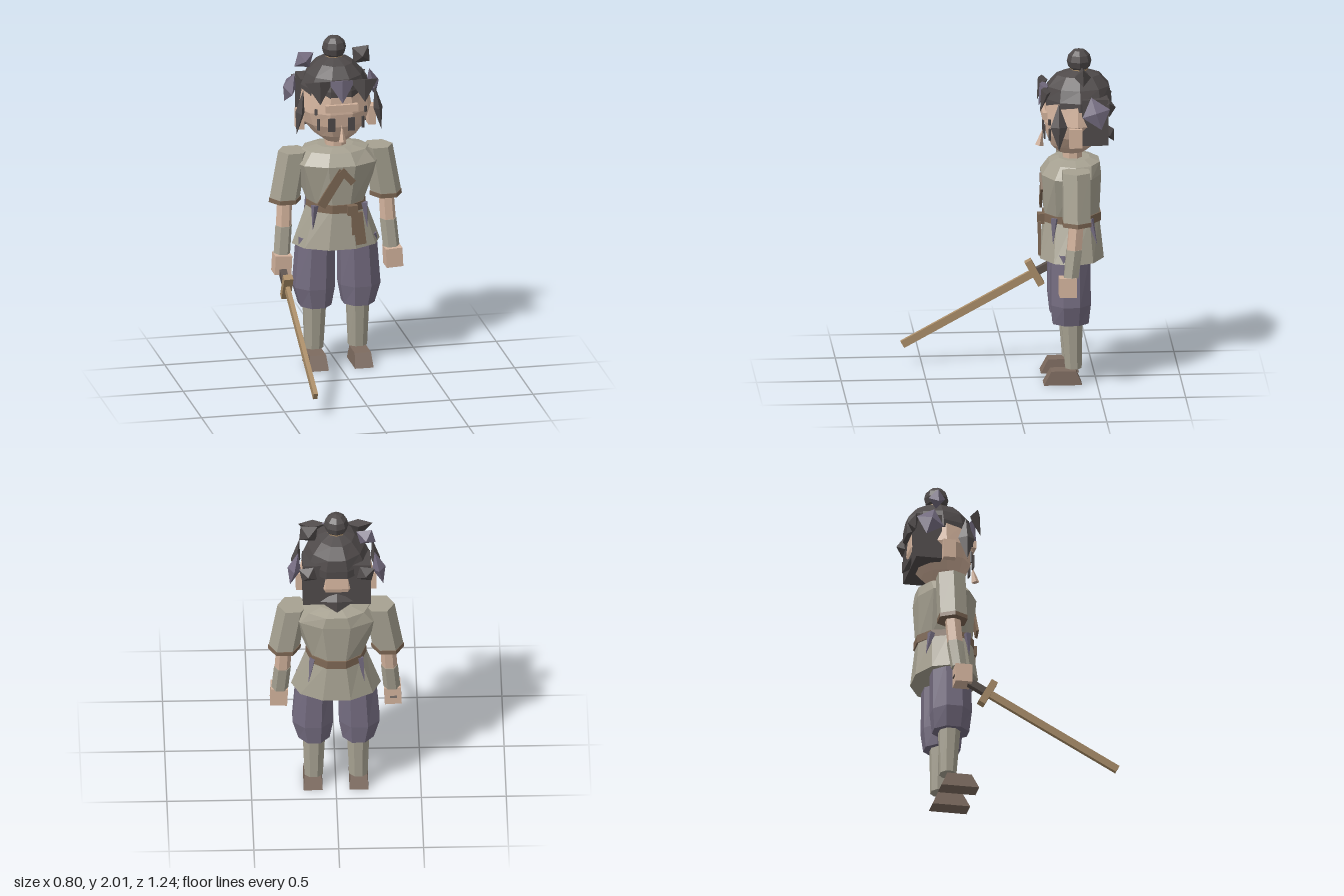
import * as THREE from 'three';

const mat = (name, color) => Object.assign(new THREE.MeshStandardMaterial({ color }), { name });

export function createModel() {
  const root = new THREE.Group();
  const M = {
    hair: mat('dark hair', 0x4f4a4a),
    purple: mat('muted purple', 0x746c80),
    cloth: mat('grey cloth', 0xa6a191),
    skin: mat('skin', 0xd2b29c),
    brown: mat('brown leather', 0x7c6653),
    shoe: mat('shoe brown', 0x7d6b5f),
    wood: mat('wood', 0xab8e69),
    grip: mat('dark grip', 0x5c524c),
  };

  // Faceted mesh: every face keeps its own normal
  function add(name, geo, material, pos = [0, 0, 0], rot = [0, 0, 0]) {
    const g = geo.index ? geo.toNonIndexed() : geo;
    g.computeVertexNormals();
    const m = new THREE.Mesh(g, material);
    m.name = name;
    m.position.set(...pos);
    m.rotation.set(...rot);
    root.add(m);
    return m;
  }
  const box = (name, size, pos, material, rot) =>
    add(name, new THREE.BoxGeometry(...size), material, pos, rot);

  // Closed loft through rings [y, centreX, centreZ, halfX, halfZ], bottom to top
  function loft(name, rings, n, phase, material) {
    const ang = Array.from({ length: n }, (_, i) => ((i + phase) * 2 * Math.PI) / n);
    const mx = Math.max(...ang.map((a) => Math.abs(Math.cos(a))));
    const mz = Math.max(...ang.map((a) => Math.abs(Math.sin(a))));
    const pos = [], idx = [];
    rings.forEach(([y, cx, cz, hx, hz]) =>
      ang.forEach((a) => pos.push(cx + (hx * Math.cos(a)) / mx, y, cz + (hz * Math.sin(a)) / mz)));
    const last = rings.length - 1;
    [rings[0], rings[last]].forEach(([y, cx, cz]) => pos.push(cx, y, cz));
    const c0 = rings.length * n;
    for (let i = 0; i < n; i++) {
      const j = (i + 1) % n;
      for (let r = 0; r < last; r++) {
        const a = r * n + i, b = r * n + j;
        idx.push(a, a + n, b, b, a + n, b + n);
      }
      idx.push(c0, i, j, c0 + 1, last * n + j, last * n + i);
    }
    const g = new THREE.BufferGeometry();
    g.setAttribute('position', new THREE.Float32BufferAttribute(pos, 3));
    g.setIndex(idx);
    return add(name, g, material);
  }

  // Four-sided spike from base to tip
  function spike(name, base, tip, width, depth, material) {
    const a = new THREE.Vector3(...base), d = new THREE.Vector3(...tip).sub(a);
    const g = new THREE.ConeGeometry(1, d.length(), 4).scale(width / 2, 1, depth / 2);
    const m = add(name, g, material, a.clone().addScaledVector(d, 0.5).toArray());
    m.quaternion.setFromUnitVectors(new THREE.Vector3(0, 1, 0), d.normalize());
    return m;
  }
  const diamond = (name, size, pos, material, rot) =>
    add(name, new THREE.OctahedronGeometry(0.5).scale(...size), material, pos, rot);

  // Tunic, skirt and belt
  loft('tunic', [
    [1.0, 0, -0.36, 0.17, 0.16], [1.26, 0, -0.355, 0.265, 0.175],
    [1.33, 0, -0.375, 0.2, 0.148], [1.35, 0, -0.375, 0.11, 0.09],
  ], 10, 0, M.cloth);
  loft('skirt', [[0.75, 0, -0.358, 0.265, 0.188], [1.0, 0, -0.36, 0.175, 0.16]], 10, 0, M.cloth);
  loft('belt', [[0.97, 0, -0.36, 0.182, 0.172], [1.02, 0, -0.36, 0.178, 0.17]], 10, 0, M.brown);
  box('beltKnot', [0.06, 0.06, 0.04], [0.06, 0.992, -0.175], M.brown);
  box('beltTail', [0.06, 0.2, 0.015], [0.1, 0.88, -0.164], M.brown, [0, 0, 0.12]);
  box('beltTailShort', [0.04, 0.14, 0.014], [0.075, 0.91, -0.168], M.brown, [0, 0, 0.05]);
  box('chestStrap', [0.055, 0.25, 0.015], [-0.06, 1.13, -0.186], M.brown, [0, 0, -0.56]);
  box('chestStrapEnd', [0.04, 0.11, 0.015], [0.03, 1.2, -0.18], M.brown, [0, 0, 0.72]);

  // Head, neck and hair cap
  loft('neck', [[1.3, 0, -0.365, 0.06, 0.055], [1.42, 0, -0.365, 0.06, 0.055]], 8, 0.5, M.skin);
  loft('head', [
    [1.385, 0, -0.36, 0.07, 0.075], [1.43, 0, -0.365, 0.13, 0.125], [1.5, 0, -0.38, 0.19, 0.17],
    [1.58, 0, -0.385, 0.22, 0.187], [1.72, 0, -0.385, 0.195, 0.175],
  ], 10, 0, M.skin);
  loft('hairCap', [
    [1.67, 0, -0.4, 0.205, 0.193], [1.72, 0, -0.4, 0.203, 0.193], [1.79, 0, -0.4, 0.17, 0.18],
    [1.855, 0, -0.4, 0.11, 0.125], [1.885, 0, -0.4, 0.04, 0.04],
  ], 10, 0, M.hair);
  box('hairBack', [0.4, 0.28, 0.155], [0, 1.605, -0.487], M.hair);
  add('bun', new THREE.SphereGeometry(0.073, 8, 6), M.hair, [0, 1.935, -0.405]);
  add('bunTie', new THREE.CylinderGeometry(0.052, 0.052, 0.02, 8), M.wood, [0, 1.885, -0.405]);

  // Face
  box('brow', [0.195, 0.045, 0.03], [0, 1.622, -0.198], M.skin);
  spike('nose', [0, 1.42, -0.17], [0, 1.52, -0.19], 0.045, 0.05, M.skin);

  // Fringe
  for (const x of [-0.135, 0, 0.135])
    spike('fringe', [x, 1.79, -0.2], [x, 1.66, -0.165], 0.17, 0.06, x ? M.hair : M.purple);

  // Tufts on the crown and the back
  diamond('crownTuftRight', [0.14, 0.12, 0.1], [-0.175, 1.86, -0.435], M.purple, [0, 0, 0.6]);
  diamond('crownTuftLeft', [0.14, 0.14, 0.1], [0.165, 1.875, -0.415], M.hair, [0, 0, -0.7]);
  diamond('napeTuft', [0.2, 0.13, 0.07], [0, 1.495, -0.58], M.hair, [0.5, 0, 0]);

  for (const s of [1, -1]) {
    const side = s > 0 ? 'left' : 'right';
    const put = (part) => side + part;

    box(put('Ear'), [0.045, 0.115, 0.075], [s * 0.215, 1.518, -0.37], M.skin);
    box(put('Eye'), [0.042, 0.08, 0.009], [s * 0.06, 1.52, -0.197], M.hair);
    box(put('CheekMark'), [0.015, 0.07, 0.009], [s * 0.135, 1.52, -0.222], M.hair, [0, s * 0.5, 0]);
    box(put('TempleMark'), [0.015, 0.035, 0.009], [s * 0.15, 1.6, -0.22], M.hair, [0, s * 0.6, 0]);

    diamond(put('FrontLock'), [0.055, 0.28, 0.1], [s * 0.235, 1.59, -0.27], M.hair, [0, 0, s * 0.15]);
    diamond(put('SideTuft'), [0.08, 0.2, 0.17], [s * 0.25, 1.675, -0.49], M.purple, [0.3, 0, s * 0.25]);
    diamond(put('BackTuft'), [0.13, 0.12, 0.08], [s * 0.17, 1.69, -0.57], M.hair, [0, 0, s * 0.6]);

    // Sleeve, cuff, forearm, wrap and hand
    loft(put('Sleeve'), [[1.035, s * 0.305, -0.37, 0.092, 0.08], [1.325, s * 0.255, -0.37, 0.09, 0.08]], 6, 0, M.cloth);
    loft(put('Cuff'), [[1.012, s * 0.305, -0.37, 0.097, 0.083], [1.038, s * 0.303, -0.37, 0.096, 0.083]], 6, 0, M.brown);
    loft(put('Forearm'), [[0.865, s * 0.315, -0.355, 0.047, 0.042], [1.05, s * 0.305, -0.37, 0.045, 0.042]], 6, 0, M.skin);
    loft(put('WristWrap'), [[0.7, s * 0.33, -0.335, 0.05, 0.042], [0.868, s * 0.315, -0.355, 0.05, 0.045]], 6, 0, M.cloth);
    box(put('Hand'), [0.1, 0.115, 0.1], [s * 0.335, 0.645, -0.315], M.skin, [0, 0, s * 0.05]);

    // Trousers, shin wrap and shoe
    loft(put('Trouser'), [
      [0.37, s * 0.13, -0.345, 0.092, 0.105], [0.49, s * 0.137, -0.345, 0.12, 0.117],
      [0.8, s * 0.125, -0.345, 0.108, 0.115],
    ], 8, 0.5, M.purple);
    loft(put('Shin'), [[0.095, s * 0.132, -0.362, 0.054, 0.048], [0.4, s * 0.13, -0.352, 0.067, 0.063]], 8, 0.5, M.cloth);
    loft(put('Shoe'), [[0, s * 0.135, -0.298, 0.056, 0.113], [0.083, s * 0.135, -0.302, 0.049, 0.073]], 4, 0.5, M.shoe);

    // Torn cloth points under the belt
    spike(put('FrontClothPoint'), [s * 0.15, 1.01, -0.25], [s * 0.165, 0.85, -0.24], 0.05, 0.045, M.purple);
    spike(put('BackClothPoint'), [s * 0.14, 1.0, -0.46], [s * 0.165, 0.85, -0.5], 0.05, 0.045, M.purple);
  }

  // Wooden sword in the right hand, pointing forward and down
  const tilt = 0.5;
  box('swordBlade', [0.026, 0.045, 0.89], [-0.338, 0.335, 0.225], M.wood, [tilt, 0, 0]);
  box('swordGuard', [0.055, 0.165, 0.042], [-0.338, 0.547, -0.165], M.wood, [tilt, 0, 0]);
  box('swordGrip', [0.042, 0.042, 0.22], [-0.338, 0.6, -0.265], M.grip, [tilt, 0, 0]);

  return root;
}
